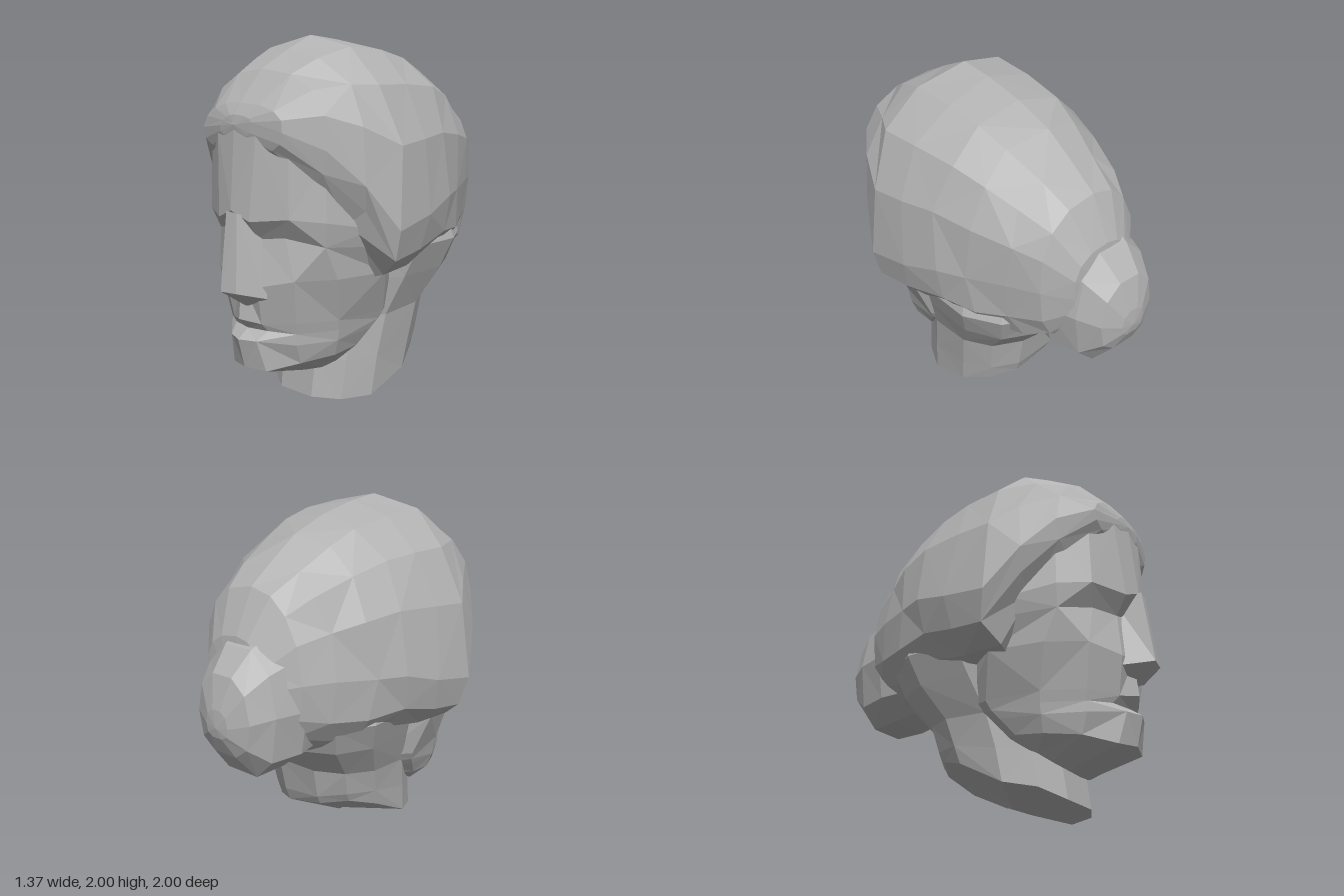
import * as THREE from 'three';

const stone = new THREE.MeshStandardMaterial({ color: 0xb2b2b2, flatShading: true, side: THREE.DoubleSide });
stone.name = 'grey stone';

// Skin a list of equal-length rows of [x, y, z] points
function loft(name, rows, closed) {
  const n = rows[0].length, index = [];
  for (let i = 0; i < rows.length - 1; i++) {
    for (let j = 0; j < (closed ? n : n - 1); j++) {
      const k = (j + 1) % n;
      const a = i * n + j, b = i * n + k, c = a + n, d = b + n;
      if ((i + j) % 2) index.push(a, c, b, b, c, d);
      else index.push(a, c, d, a, d, b);
    }
  }
  const geo = new THREE.BufferGeometry();
  geo.setAttribute('position', new THREE.Float32BufferAttribute(rows.flat(2), 3));
  geo.setIndex(index);
  geo.computeVertexNormals();
  const mesh = new THREE.Mesh(geo, stone);
  mesh.name = name;
  return mesh;
}

// Rounded-square power that keeps the sign
const pow = (v, e) => Math.sign(v) * Math.abs(v) ** e;

// Upright slices from front to back, [z, top, bottom, half width, widest height]
function sliced(name, slices, n, shiftX, lean, uneven) {
  const rows = slices.map(([z, top, bottom, w, mid], i) => Array.from({ length: n }, (_, j) => {
    const a = j / n * Math.PI * 2;
    const e = Math.sin(a) < 0 ? 0.75 : 0.87;
    const s = pow(Math.sin(a), e), c = pow(Math.cos(a), e);
    const dz = i > 3 && i < 10 ? uneven * Math.sin(j * 2.4 + i * 1.7) : 0;
    const dx = shiftX + lean * Math.max(0, s) * Math.abs(c);
    return [dx + w * c, mid + s * (s > 0 ? top - mid : mid - bottom), z + dz];
  }));
  return loft(name, rows, true);
}

const hair = () => sliced('hair', [
  [0.9, 1.54, 1.54, 0, 1.54],
  [0.89, 1.59, 1.47, 0.12, 1.53],
  [0.85, 1.65, 1.39, 0.31, 1.51],
  [0.7, 1.82, 1.18, 0.47, 1.42],
  [0.53, 1.92, 0.96, 0.59, 1.24],
  [0.36, 2.0, 0.66, 0.685, 1.0],
  [0.12, 1.98, 0.66, 0.66, 1.05],
  [-0.12, 1.93, 0.7, 0.61, 1.12],
  [-0.32, 1.85, 0.66, 0.54, 1.13],
  [-0.52, 1.73, 0.68, 0.44, 1.15],
  [-0.68, 1.62, 0.75, 0.35, 1.15],
  [-0.8, 1.38, 0.92, 0.22, 1.12],
  [-0.83, 1.12, 1.12, 0, 1.12],
], 16, 0, 0.04, 0.025);

// Bun growing out of the back of the hair
const bun = () => sliced('hairBun', [
  [-0.4, 0.95, 0.95, 0, 0.95],
  [-0.48, 1.28, 0.66, 0.28, 0.97],
  [-0.64, 1.44, 0.63, 0.31, 1.0],
  [-0.82, 1.35, 0.62, 0.26, 1.0],
  [-0.94, 1.22, 0.77, 0.19, 0.98],
  [-0.99, 1.04, 0.88, 0.08, 0.95],
  [-1.0, 0.94, 0.94, 0, 0.94],
], 10, -0.035, 0, 0);

// Face: rows from forehead to throat, each from the centre line out to the side
function face() {
  const half = [
    [[0, 1.53, 0.895], [0.15, 1.5, 0.88], [0.3, 1.43, 0.8], [0.42, 1.36, 0.66], [0.5, 1.3, 0.5]],
    [[0, 1.1, 0.93], [0.12, 1.05, 0.91], [0.31, 1.07, 0.81], [0.44, 1.05, 0.67], [0.54, 1.0, 0.42]],
    [[0, 0.97, 0.85], [0.1, 0.95, 0.84], [0.24, 0.96, 0.77], [0.42, 0.92, 0.66], [0.52, 0.9, 0.4]],
    [[0, 0.72, 0.87], [0.13, 0.7, 0.87], [0.3, 0.74, 0.77], [0.43, 0.74, 0.58], [0.5, 0.74, 0.28]],
    [[0, 0.51, 0.89], [0.11, 0.49, 0.83], [0.27, 0.5, 0.73], [0.38, 0.5, 0.52], [0.42, 0.5, 0.21]],
    [[0, 0.45, 0.83], [0.13, 0.45, 0.8], [0.26, 0.44, 0.72], [0.37, 0.44, 0.51], [0.4, 0.45, 0.23]],
    [[0, 0.4, 0.9], [0.1, 0.4, 0.86], [0.26, 0.38, 0.72], [0.36, 0.38, 0.51], [0.38, 0.4, 0.27]],
    [[0, 0.24, 0.86], [0.13, 0.23, 0.82], [0.25, 0.27, 0.68], [0.33, 0.29, 0.5], [0.34, 0.31, 0.34]],
    [[0, 0.14, 0.52], [0.1, 0.15, 0.51], [0.2, 0.18, 0.47], [0.26, 0.22, 0.42], [0.28, 0.27, 0.32]],
  ];
  const rows = half.map((row) => {
    const [x, y, z] = row[4];
    const side = [...row, [x * 0.78, y + 0.03, z - 0.2]]; // jaw edge folds into the neck
    const mirrored = side.slice(1).reverse().map(([px, py, pz]) => [-px, py, pz]);
    return [...mirrored, ...side];
  });
  return loft('face', rows, false);
}

// Nose: bridge, tip with wings, and base under the nostrils
function nose() {
  const base = [0.03, 0.58, 0.86];
  return loft('nose', [
    [[-0.06, 1.08, 0.8], [-0.01, 1.1, 0.95], [0.06, 1.09, 0.94], [0.12, 1.05, 0.8]],
    [[-0.13, 0.65, 0.84], [-0.01, 0.68, 1.0], [0.09, 0.68, 0.98], [0.17, 0.64, 0.84]],
    [base, base, base, base],
  ], false);
}

// Neck: rings from skull to cut end, [y, front z, back z, half width, rise at back]
function neck() {
  const rings = [
    [1.05, 0.3, -0.5, 0.48, 0],
    [0.85, 0.36, -0.57, 0.54, 0],
    [0.68, 0.4, -0.51, 0.48, 0],
    [0.46, 0.42, -0.34, 0.4, 0.03],
    [0.22, 0.47, -0.3, 0.375, 0.06],
    [0, 0.5, -0.27, 0.36, 0.2],
    [0.03, 0.15, 0.05, 0, 0.04],
  ];
  const slantOf = [0, 0, 0, 0, 0.5, 1, 0.5];
  const n = 12;
  const rows = rings.map(([y, front, back, w, rise], i) => Array.from({ length: n }, (_, j) => {
    const a = (j + 0.5) / n * Math.PI * 2;
    const x = 0.02 + w * pow(Math.sin(a), 0.8);
    const z = (front + back) / 2 + pow(Math.cos(a), 0.8) * (front - back) / 2 / 0.97;
    const lift = Math.max(0, Math.min(1, (0.2 - z) / 0.47));
    // the cut end slants up on the model's right and towards the back
    const slant = Math.max(0, -x - 0.15) * 0.45 + lift * Math.max(0, 0.1 - x) * 0.25;
    return [x, y + rise * lift + slant * slantOf[i], z];
  }));
  return loft('neck', rows, true);
}

export function createModel() {
  const head = new THREE.Group();
  head.name = 'sculptedHead';
  head.add(hair(), bun(), face(), nose(), neck());
  return head;
}
